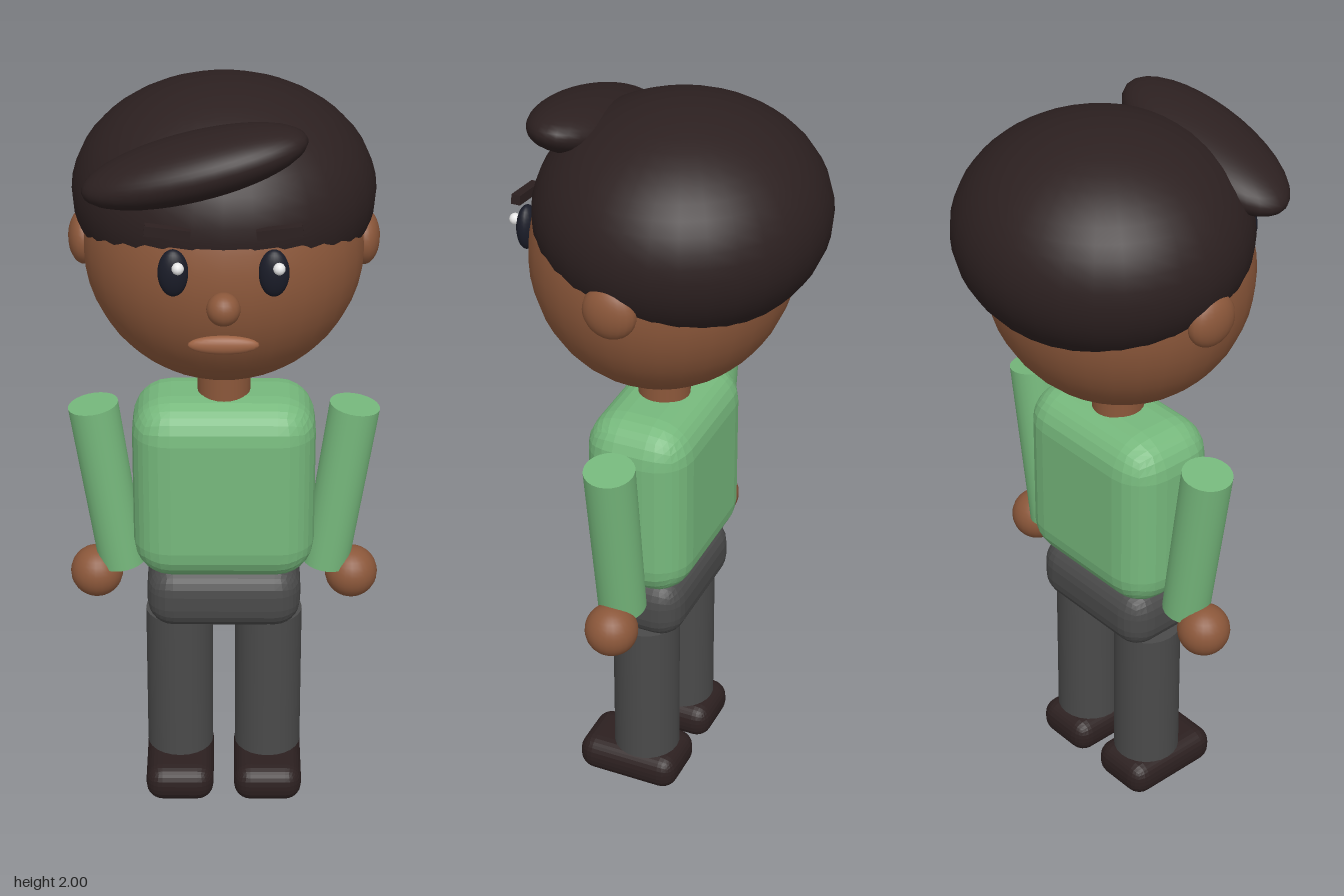
import * as THREE from 'three';
import { RoundedBoxGeometry } from 'three/addons/geometries/RoundedBoxGeometry.js';

export function createModel() {
  const mat = (name, color) => {
    const m = new THREE.MeshStandardMaterial({ color });
    m.name = name;
    return m;
  };
  const skin = mat('skin', 0x8b573a);
  const lips = mat('lips', 0x9c6243);
  const hair = mat('darkBrown', 0x2c2020);
  const shirt = mat('greenShirt', 0x76b87c);
  const trousers = mat('greyTrousers', 0x4a4a4a);
  const eye = mat('eyeNavy', 0x1a1c28);
  const white = mat('white', 0xf4f4f4);

  const model = new THREE.Group();
  model.name = 'figure';

  const add = (name, geometry, material, x, y, z, tilt = 0) => {
    const mesh = new THREE.Mesh(geometry, material);
    mesh.name = name;
    mesh.position.set(x, y, z);
    mesh.rotation.z = tilt;
    model.add(mesh);
    return mesh;
  };
  const ellipsoid = (rx, ry, rz, w = 32, h = 24) =>
    new THREE.SphereGeometry(1, w, h).scale(rx, ry, rz);
  // Rounded box with faceted corners
  const block = (w, h, d, r) => {
    const g = new RoundedBoxGeometry(w, h, d, 3, r);
    g.computeVertexNormals();
    return g;
  };

  // Head and hair
  add('head', ellipsoid(0.353, 0.355, 0.335), skin, 0, 1.6, 0.01);
  add('hair', ellipsoid(0.38, 0.28, 0.37), hair, 0, 1.72, -0.04);
  add('quiff', ellipsoid(0.278, 0.075, 0.13), hair, -0.07, 1.88, 0.23, 0.25);
  add('nose', ellipsoid(0.041, 0.041, 0.041, 20, 16), skin, 0, 1.57, 0.365);
  add('mouth', ellipsoid(0.087, 0.024, 0.018, 24, 12), lips, 0, 1.46, 0.33);

  // Body
  add('neck', new THREE.CylinderGeometry(0.068, 0.068, 0.16, 24), skin, 0, 1.23, 0.01);
  add('torso', block(0.475, 0.515, 0.285, 0.1), shirt, 0, 0.928, 0.01);
  add('hips', block(0.408, 0.18, 0.238, 0.07), trousers, 0, 0.605, 0.01);

  // Paired parts
  for (const [side, s] of [['left', 1], ['right', -1]]) {
    add(side + 'Ear', ellipsoid(0.04, 0.07, 0.07, 20, 16), skin, s * 0.35, 1.605, -0.003);
    add(side + 'Eye', ellipsoid(0.037, 0.06, 0.025, 20, 16), eye, s * 0.12, 1.648, 0.328);
    add(side + 'EyeGlint', ellipsoid(0.015, 0.015, 0.015, 12, 8), white, s * 0.12 + 0.012, 1.67, 0.355);
    add(side + 'Eyebrow', new THREE.BoxGeometry(0.11, 0.025, 0.024), hair, s * 0.133, 1.75, 0.322, s * 0.12);
    add(side + 'Arm', new THREE.CylinderGeometry(0.066, 0.063, 0.47, 24), shirt, s * 0.305, 0.908, 0.01, -s * 0.145);
    add(side + 'Hand', ellipsoid(0.07, 0.07, 0.07, 24, 16), skin, s * 0.34, 0.643, 0.01);
    add(side + 'Leg', new THREE.CylinderGeometry(0.09, 0.09, 0.425, 24), trousers, s * 0.12, 0.318, 0.01);
    add(side + 'Shoe', block(0.184, 0.104, 0.288, 0.045), hair, s * 0.12, 0.052, 0.042);
  }

  return model;
}
